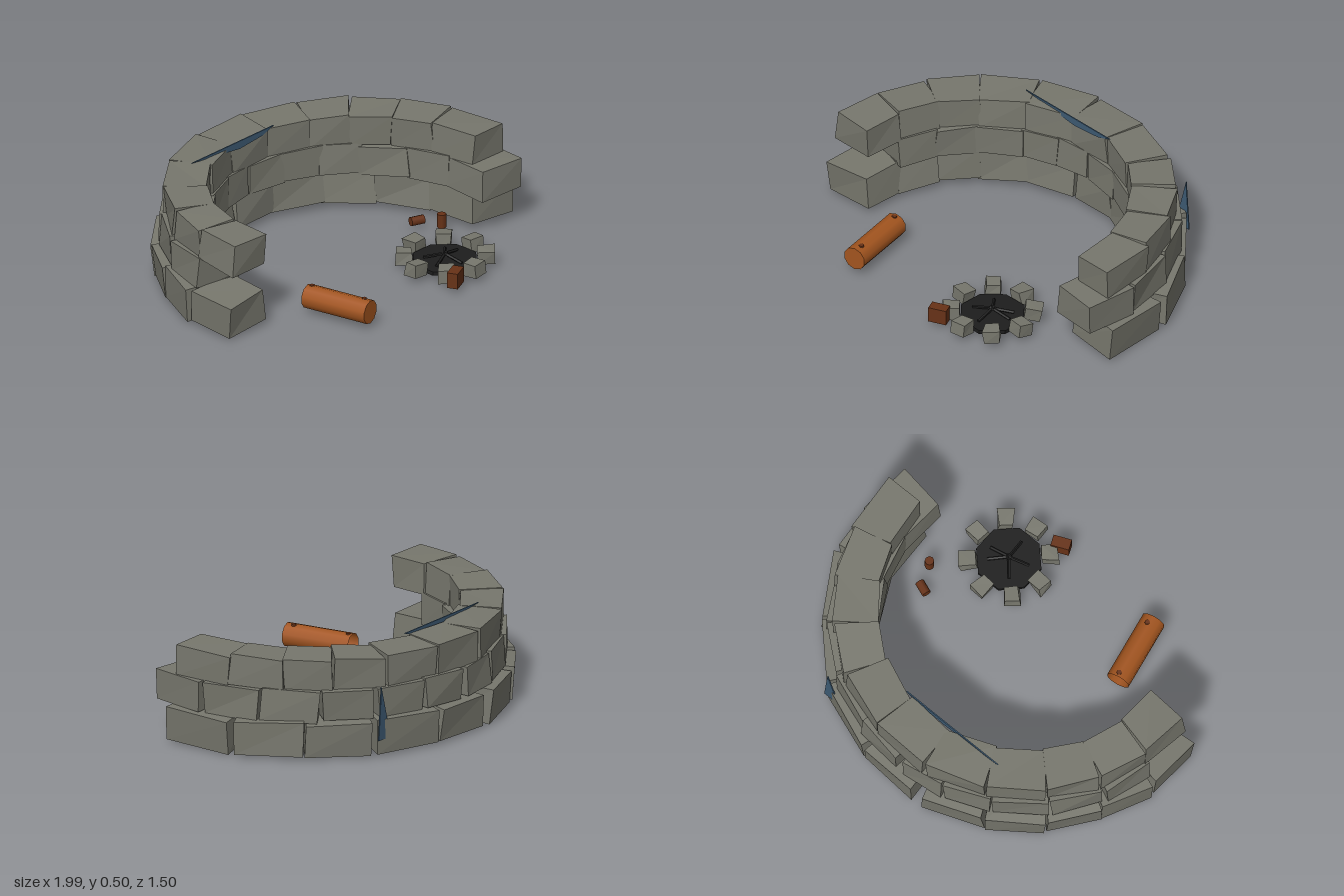
import * as THREE from 'three';

const mat = (name, color, extra = {}) => new THREE.MeshStandardMaterial({ name, color, flatShading: true, ...extra });

// Seeded jitter in -1..1
let seed = 11;
const jit = () => {
  seed = (seed * 16807) % 2147483647;
  return (seed / 2147483647) * 2 - 1;
};

// Box with shifted corners; inner (-z) end narrower than the outer (+z) end
function stoneGeometry(w, h, d, taper, amount) {
  const g = new THREE.BoxGeometry(w, h, d);
  const shift = Array.from({ length: 8 }, () => [jit() * amount, jit() * amount * 0.6, jit() * amount]);
  const p = g.attributes.position;
  for (let i = 0; i < p.count; i++) {
    const x = p.getX(i), y = p.getY(i), z = p.getZ(i);
    const s = shift[(x > 0 ? 1 : 0) + (y > 0 ? 2 : 0) + (z > 0 ? 4 : 0)];
    p.setXYZ(i, x * (1 + Math.sign(z) * taper) + s[0], y + s[1], z + s[2]);
  }
  g.computeVertexNormals();
  return g;
}

// Thin plate from a few outline points
const plate = (points) => new THREE.ExtrudeGeometry(
  new THREE.Shape(points.map(([x, y]) => new THREE.Vector2(x, y))), { depth: 0.006, bevelEnabled: false });

export function createModel() {
  const stone = mat('stone grey', 0x77776d);
  const mortar = mat('slate blue', 0x3d5a73, { side: THREE.DoubleSide });
  const bark = mat('log orange', 0xa3551f, { side: THREE.DoubleSide, flatShading: false });
  const wood = mat('dark wood', 0x673217, { flatShading: false });
  const coal = mat('charcoal', 0x1d1d1d);
  const model = new THREE.Group();
  const add = (parent, name, geometry, material, x = 0, y = 0, z = 0) => {
    const m = new THREE.Mesh(geometry, material);
    m.name = name;
    m.position.set(x, y, z);
    parent.add(m);
    return m;
  };

  // Curved wall: three courses, seams in degrees round the arc centre; spans under 4 degrees are open gaps
  const wall = new THREE.Group();
  wall.name = 'ruinedWall';
  wall.position.z = 0.24;
  model.add(wall);
  const courses = [
    { y: 0.112, h: 0.168, inner: 0.72, outer: 0.985, lean: 0.06, seams: [-5, 16, 37, 57, 78, 96.5, 99, 118, 136, 152, 168, 184] },
    { y: 0.27, h: 0.154, inner: 0.71, outer: 0.95, lean: 0, seams: [-12, 6, 24, 42, 58, 74, 89.6, 90.6, 105, 120, 137, 153, 169] },
    { y: 0.417, h: 0.156, inner: 0.722, outer: 0.93, lean: 0, seams: [-4.5, 14, 31, 46, 62, 80, 99, 118, 136, 152, 168, 184] },
  ];
  courses.forEach(({ y, h, inner, outer, lean, seams }, row) => {
    for (let i = 0; i < seams.length - 1; i++) {
      const span = seams[i + 1] - seams[i];
      if (span < 4) continue;
      const a = THREE.MathUtils.degToRad(seams[i] + span / 2);
      const r = (inner + outer) / 2;
      const width = 2 * r * Math.tan(THREE.MathUtils.degToRad(span / 2));
      const g = stoneGeometry(width, h, outer - inner, 0.09, 0.01);
      const b = add(wall, `wallStone${row + 1}_${i + 1}`, g, stone, r * Math.cos(a), y + jit() * 0.003, -r * Math.sin(a));
      b.rotation.set(lean + jit() * 0.03, a + Math.PI / 2 + jit() * 0.05, jit() * 0.05, 'YXZ');
    }
  });

  // Blue core showing through the gaps, above the inner rim and at the back
  add(wall, 'wallCore', new THREE.CylinderGeometry(0.82, 0.82, 0.32, 16, 1, true, Math.PI * 0.7, Math.PI * 0.6), mortar, 0, 0.29, 0);
  const sliver = plate([[-0.42, 0.507], [-0.25, 0.487], [-0.08, 0.466], [0.08, 0.48], [0.16, 0.507]]);
  add(model, 'coreInnerSliver', sliver, mortar, 0, 0, -0.475);
  const outerPatch = add(model, 'coreOuterPatch', plate([[-0.05, 0.1], [0.04, 0.1], [-0.03, 0.37]]), mortar, 0.5, 0, -0.62);
  outerPatch.rotation.y = Math.PI;

  // Campfire: ash bed, ring of stones, burnt sticks
  const fire = new THREE.Group();
  fire.name = 'campfire';
  fire.position.set(0.337, 0, 0.49);
  model.add(fire);
  const ash = add(fire, 'ashBed', new THREE.CylinderGeometry(0.165, 0.165, 0.02, 8), coal, 0, 0.04, 0);
  ash.rotation.y = Math.PI / 8;
  for (let i = 0; i < 8; i++) {
    const a = (i * Math.PI) / 4;
    const s = add(fire, `fireStone${i + 1}`, stoneGeometry(0.075, 0.066, 0.08, 0.06, 0.006), stone,
      0.198 * Math.cos(a), 0.063, -0.198 * Math.sin(a));
    s.rotation.set(jit() * 0.12, a + Math.PI / 2 + jit() * 0.1, jit() * 0.12, 'YXZ');
  }
  [0.15, 0.75, 2.3, 3.5, 4.8].forEach((turn, i) => {
    const stick = new THREE.Group();
    stick.name = `burntStick${i + 1}`;
    stick.rotation.y = turn;
    fire.add(stick);
    add(stick, 'stick', new THREE.CylinderGeometry(0.008, 0.008, 0.12, 5), coal, 0.045, 0.066, 0).rotation.z = Math.PI / 2 - 0.2;
  });

  // Hollow log, closed at the front
  const log = new THREE.Group();
  log.name = 'log';
  log.position.set(-0.443, 0.09, 0.519);
  log.rotation.y = 0.2;
  model.add(log);
  add(log, 'logBark', new THREE.CylinderGeometry(0.06, 0.06, 0.354, 10, 1, true), bark).rotation.x = Math.PI / 2;
  add(log, 'logEnd', new THREE.CircleGeometry(0.06, 10), bark, 0, 0, 0.177).rotation.z = Math.PI / 2;
  [[0.005, -0.155], [0.012, 0.135]].forEach(([x, z], i) =>
    add(log, `logKnot${i + 1}`, new THREE.CylinderGeometry(0.013, 0.014, 0.008, 6), wood, x, 0.057, z));

  // Wooden block and two small mugs
  add(model, 'woodBlock', new THREE.BoxGeometry(0.092, 0.08, 0.055), wood, 0.185, 0.07, 0.7).rotation.y = 0.42;
  const mug = () => new THREE.CylinderGeometry(0.023, 0.023, 0.07, 8);
  add(model, 'standingMug', mug(), wood, 0.607, 0.068, 0.218);
  add(model, 'fallenMug', mug(), wood, 0.552, 0.05, 0.107).rotation.set(0, -0.35, Math.PI / 2, 'YXZ');

  return model;
}
